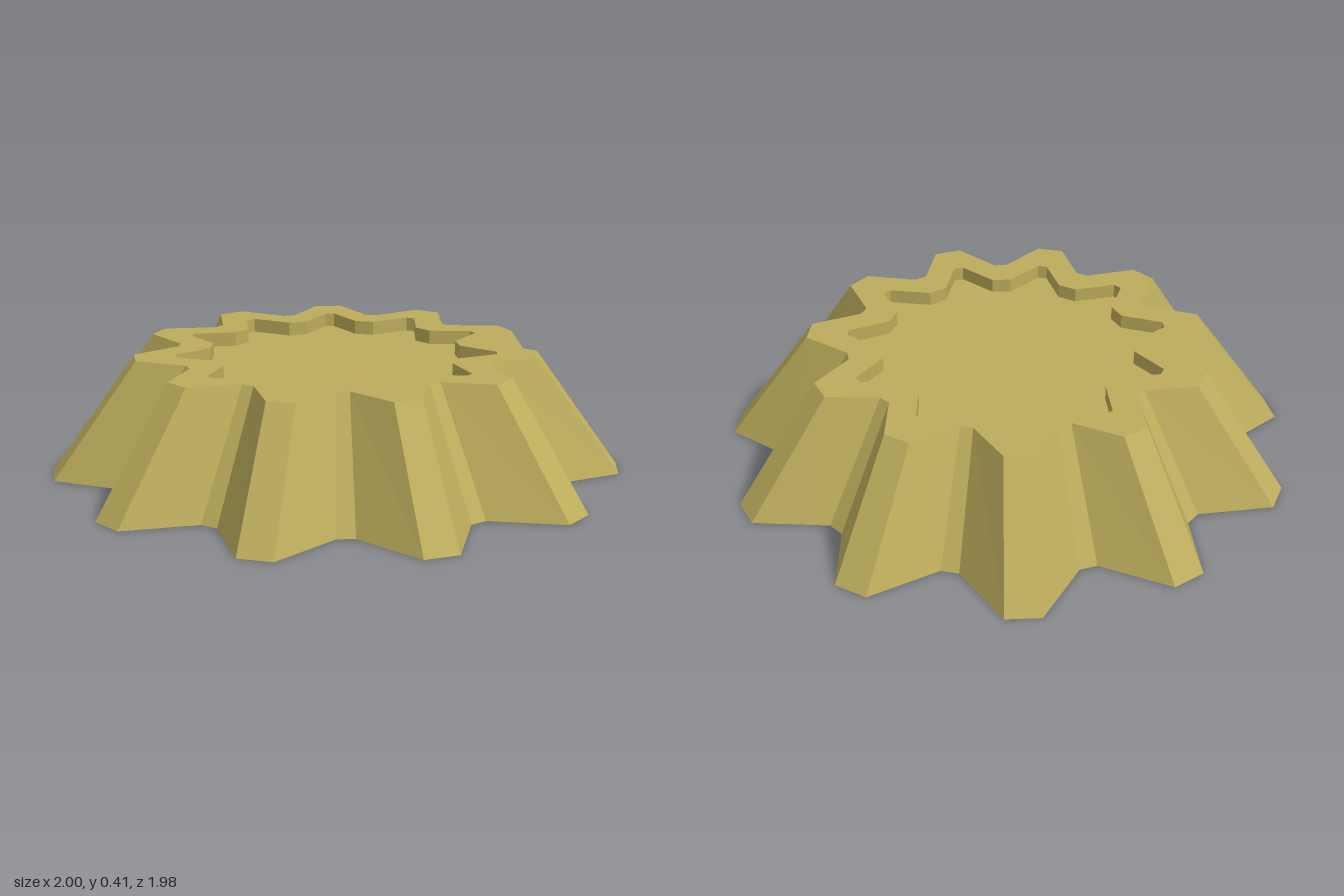
import * as THREE from 'three';

const TEETH = 11, HEIGHT = 0.41, RECESS = 0.05;
const TWIST = THREE.MathUtils.degToRad(0.7), CENTRE_Z = 0.008;

// Star outline: each tooth has a flat tip and a flat valley, given by radius and half width
function starRing(y, tipR, tipHalf, valleyR, valleyHalf) {
  const ring = [];
  for (let i = 0; i < TEETH * 2; i++) {
    const a = (i * Math.PI) / TEETH + TWIST;
    const r = i % 2 ? valleyR : tipR;
    const half = i % 2 ? valleyHalf : tipHalf;
    for (const t of [-half, half]) {
      ring.push(new THREE.Vector3(
        r * Math.sin(a) + t * Math.cos(a), y, -r * Math.cos(a) + t * Math.sin(a) + CENTRE_Z));
    }
  }
  return ring;
}

// Flat-faced band joining consecutive rings; a null ring closes to the centre
function band(name, rings, material) {
  const pos = [];
  const tri = (...pts) => pts.forEach((p) => pos.push(p.x, p.y, p.z));
  for (let k = 0; k < rings.length - 1; k++) {
    const A = rings[k], B = rings[k + 1];
    const n = (A || B).length;
    const mid = new THREE.Vector3(0, (A || B)[0].y, CENTRE_Z);
    for (let i = 0; i < n; i++) {
      const j = (i + 1) % n;
      if (!A) tri(mid, B[i], B[j]);
      else if (!B) tri(A[i], mid, A[j]);
      else {
        tri(A[i], B[i], B[j]);
        tri(A[i], B[j], A[j]);
      }
    }
  }
  const geo = new THREE.BufferGeometry();
  geo.setAttribute('position', new THREE.Float32BufferAttribute(pos, 3));
  geo.computeVertexNormals();
  const mesh = new THREE.Mesh(geo, material);
  mesh.name = name;
  return mesh;
}

export function createModel() {
  const group = new THREE.Group();
  group.name = 'flutedStarBase';
  const brass = new THREE.MeshStandardMaterial({ color: 0xbcac5c });
  brass.name = 'dull brass';

  const outerBottom = starRing(0, 1.0, 0.06, 0.795, 0.031);
  const outerTop = starRing(HEIGHT, 0.705, 0.048, 0.56, 0.022);
  const innerBottom = (y) => starRing(y, 0.8, 0.024, 0.633, 0.05);
  const innerTop = (y) => starRing(y, 0.565, 0.017, 0.443, 0.035);

  // Underside with its shallow star recess
  group.add(band('undersideRecess', [null, innerBottom(RECESS), innerBottom(0)], brass));
  group.add(band('undersideRim', [innerBottom(0), outerBottom], brass));
  // Sloping fluted wall
  group.add(band('flutedWall', [outerBottom, outerTop], brass));
  // Top with its shallow star recess
  group.add(band('topRim', [outerTop, innerTop(HEIGHT)], brass));
  group.add(band('topRecess', [innerTop(HEIGHT), innerTop(HEIGHT - RECESS), null], brass));
  return group;
}
